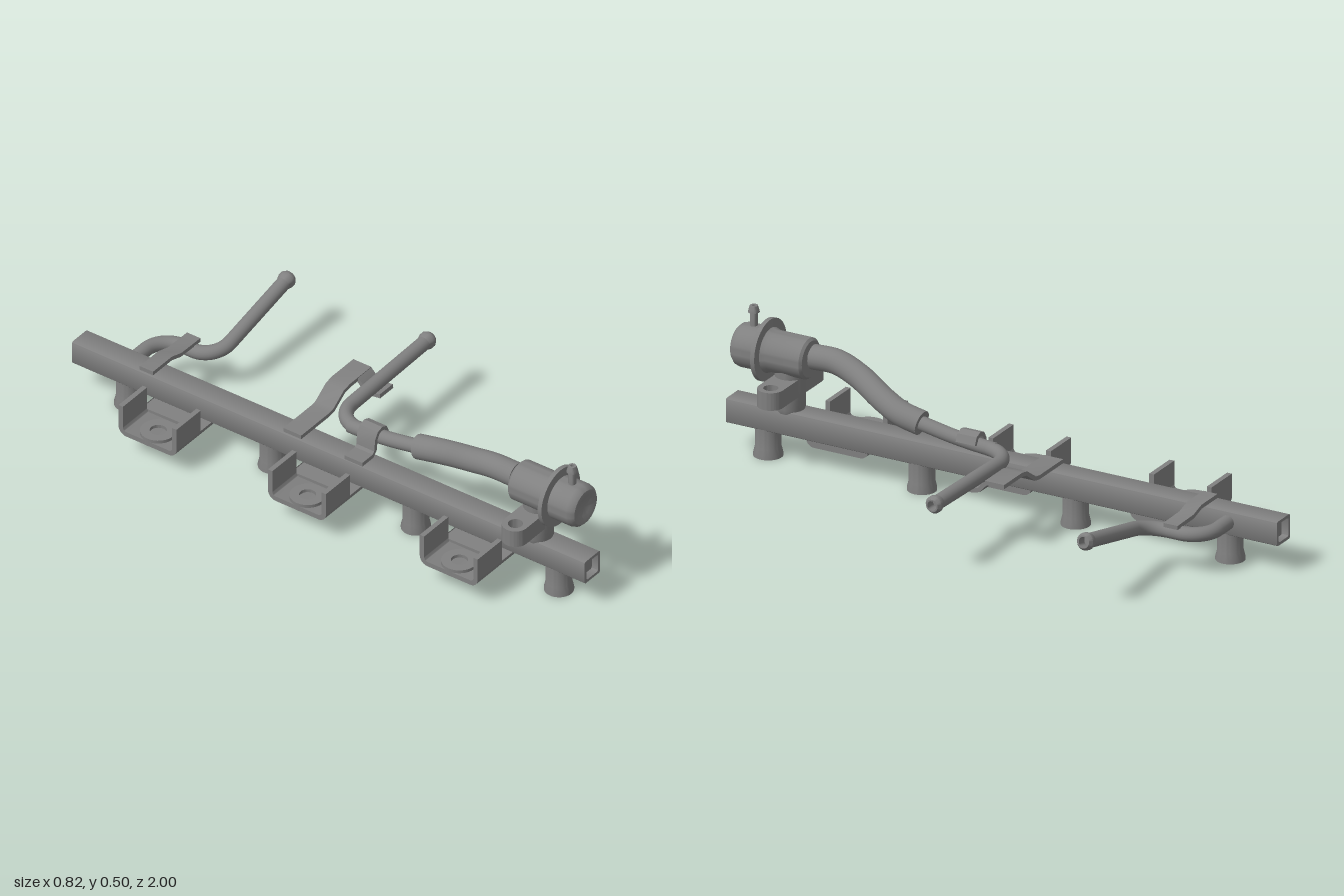
import * as THREE from 'three';
import { toCreasedNormals } from 'three/addons/utils/BufferGeometryUtils.js';

const V2 = (x, y) => new THREE.Vector2(x, y);
const V3 = (p) => new THREE.Vector3(...p);
const RAIL_X = -0.185;

export function createModel() {
  const model = new THREE.Group();
  const grey = new THREE.MeshStandardMaterial({ color: 0x808080, side: THREE.DoubleSide });
  grey.name = 'metalGrey';

  const add = (name, geo, x = 0, y = 0, z = 0, parent = model) => {
    const mesh = new THREE.Mesh(geo, grey);
    mesh.name = name;
    mesh.position.set(x, y, z);
    parent.add(mesh);
    return mesh;
  };
  const lathe = (pts, seg = 40) =>
    toCreasedNormals(new THREE.LatheGeometry(pts.map((p) => V2(...p)), seg), 0.6);
  const extrude = (shape, depth) =>
    toCreasedNormals(new THREE.ExtrudeGeometry(shape, { depth, bevelEnabled: false, curveSegments: 10 }), 0.6);

  const roundRect = (w, h, r, Type = THREE.Shape) => {
    const s = new Type();
    s.absarc(w - r, h - r, r, 0, Math.PI / 2);
    s.absarc(-w + r, h - r, r, Math.PI / 2, Math.PI);
    s.absarc(-w + r, -h + r, r, Math.PI, Math.PI * 1.5);
    s.absarc(w - r, -h + r, r, Math.PI * 1.5, Math.PI * 2);
    s.closePath();
    return s;
  };
  const hole = (x, y, r) => new THREE.Path().absarc(x, y, r, 0, Math.PI * 2, true);

  // Strip of even thickness that follows a bent line
  const strap = (pts, t, depth) => {
    const p = pts.map((q) => V2(...q));
    const side = (k) => p.map((q, i) => {
      const a = p[Math.max(i - 1, 0)], b = p[Math.min(i + 1, p.length - 1)];
      const d = b.clone().sub(a).normalize();
      return V2(q.x - d.y * k, q.y + d.x * k);
    });
    return extrude(new THREE.Shape([...side(-t / 2), ...side(t / 2).reverse()]), depth);
  };

  // Straight runs joined by rounded bends of size r
  const bentPath = (pts, r) => {
    const p = pts.map(V3), path = new THREE.CurvePath();
    let from = p[0];
    for (let i = 1; i < p.length - 1; i++) {
      const a = p[i].clone().add(p[i - 1].clone().sub(p[i]).setLength(r));
      const b = p[i].clone().add(p[i + 1].clone().sub(p[i]).setLength(r));
      const ca = a.clone().lerp(p[i], 0.56), cb = b.clone().lerp(p[i], 0.56);
      path.add(new THREE.LineCurve3(from, a));
      path.add(new THREE.CubicBezierCurve3(a, ca, cb, b));
      from = b;
    }
    path.add(new THREE.LineCurve3(from, p[p.length - 1]));
    return path;
  };
  const pipe = (name, pts, r, bend) => {
    const path = bentPath(pts, bend);
    add(name, new THREE.TubeGeometry(path, 90, r, 20));
    // Swollen open tip
    const tip = add(name + 'Tip', lathe([[0, -0.03], [0.016, -0.03], [0.016, 0.006], [0.021, 0.006],
      [0.029, -0.006], [0.029, -0.018], [r, -0.032]], 24));
    tip.position.copy(path.getPoint(1));
    tip.quaternion.setFromUnitVectors(new THREE.Vector3(0, 1, 0), path.getTangent(1));
  };

  // Square hollow rail with recessed end plugs
  const railShape = roundRect(0.042, 0.042, 0.009);
  railShape.holes.push(roundRect(0.031, 0.032, 0.007, THREE.Path));
  add('rail', extrude(railShape, 2), RAIL_X, 0.138, -1);
  add('railPlug', new THREE.BoxGeometry(0.064, 0.066, 1.95), RAIL_X, 0.138, 0);

  // Flared injector cups
  const cup = lathe([[0, 0.07], [0.034, 0.07], [0.034, 0.025], [0.042, 0], [0.048, 0], [0.048, 0.008],
    [0.042, 0.033], [0.042, 0.1]]);
  for (const z of [0.87, 0.312, -0.246, -0.807]) add('injectorCup', cup, RAIL_X, 0, z);

  // U-shaped mounting brackets, each with a drilled boss
  const wall = 0.017;
  const channel = new THREE.Shape();
  channel.moveTo(-0.113, 0.18);
  channel.lineTo(-0.113, 0.1);
  channel.absarc(-0.083, 0.1, 0.03, Math.PI, Math.PI * 1.5);
  channel.absarc(0.083, 0.1, 0.03, Math.PI * 1.5, Math.PI * 2);
  channel.lineTo(0.113, 0.18);
  channel.lineTo(0.113 - wall, 0.18);
  channel.absarc(0.083, 0.1, 0.03 - wall, 0, -Math.PI / 2, true);
  channel.absarc(-0.083, 0.1, 0.03 - wall, -Math.PI / 2, -Math.PI, true);
  channel.lineTo(-0.113 + wall, 0.18);
  const foot = new THREE.Shape();
  foot.moveTo(-0.113, 0.096);
  foot.absarc(-0.083, 0.1, 0.03, Math.PI, Math.PI * 1.5);
  foot.absarc(0.083, 0.1, 0.03, Math.PI * 1.5, Math.PI * 2);
  foot.lineTo(0.113, 0.096);
  const boss = lathe([[0.027, 0.066], [0.058, 0.066], [0.058, 0.094], [0.027, 0.094], [0.027, 0.066]], 32);
  for (const z of [-0.569, 0.014, 0.606]) {
    const bracket = new THREE.Group();
    bracket.name = 'mountingBracket';
    bracket.position.z = z;
    model.add(bracket);
    add('bracketChannel', extrude(channel, 0.129), -0.412, 0, 0, bracket).rotation.y = Math.PI / 2;
    add('bracketFoot', extrude(foot, 0.123), -0.283, 0, 0, bracket).rotation.y = Math.PI / 2;
    add('bracketBoss', boss, -0.355, 0.004, 0, bracket);
  }

  // Pressure regulator: round body, neck, two-eared flange, nipple
  add('regulatorBody', lathe([[0, 0.714], [0.06, 0.714], [0.068, 0.722], [0.068, 0.845], [0.074, 0.861],
    [0.103, 0.862], [0.103, 0.877], [0.073, 0.878], [0.073, 0.95], [0.069, 0.965], [0.06, 0.974],
    [0.045, 0.974], [0.034, 0.968], [0, 0.968]], 48), RAIL_X, 0.36, 0).rotation.x = Math.PI / 2;
  add('regulatorNeck', lathe([[0, 0.17], [0.044, 0.17], [0.049, 0.185], [0.049, 0.34], [0, 0.34]]), RAIL_X, 0, 0.79);
  const ears = roundRect(0.166, 0.043, 0.0425);
  ears.holes.push(hole(-0.123, 0, 0.024), hole(0.123, 0, 0.024));
  add('regulatorFlange', extrude(ears, 0.06), RAIL_X, 0.29, 0.79).rotation.x = Math.PI / 2;
  add('regulatorNipple', lathe([[0.013, 0.42], [0.013, 0.475], [0.019, 0.478], [0.017, 0.487], [0.013, 0.5],
    [0.006, 0.5], [0.006, 0.48], [0, 0.48]], 24), RAIL_X, 0, 0.922);

  // Rubber hose from the regulator
  const hosePath = new THREE.CatmullRomCurve3([[RAIL_X, 0.37, 0.705], [RAIL_X, 0.37, 0.62], [-0.17, 0.345, 0.53],
    [-0.135, 0.3, 0.42], [-0.12, 0.275, 0.35], [-0.119, 0.258, 0.275]].map(V3));
  add('hose', new THREE.TubeGeometry(hosePath, 50, 0.041, 24));
  for (const u of [0, 1]) {
    const cap = add('hoseEnd', new THREE.CircleGeometry(0.041, 24));
    cap.position.copy(hosePath.getPoint(u));
    cap.lookAt(cap.position.clone().add(hosePath.getTangent(u).multiplyScalar(u ? 1 : -1)));
  }
  add('hoseStub', new THREE.CylinderGeometry(0.025, 0.025, 0.05, 20), RAIL_X, 0.37, 0.71).rotation.x = Math.PI / 2;

  // Return pipe and feed pipe
  pipe('returnPipe', [[-0.119, 0.262, 0.3], [-0.119, 0.226, 0.1], [-0.115, 0.222, -0.058],
    [0.392, 0.236, -0.058]], 0.024, 0.095);
  pipe('feedPipe', [[-0.16, 0.142, -0.82], [0.005, 0.142, -0.82], [0.005, 0.142, -0.612],
    [0.4, 0.232, -0.612]], 0.024, 0.085);

  // Sheet metal straps that hold the pipes
  add('feedPipeStrap', strap([[-0.22, 0.187], [-0.12, 0.187], [-0.07, 0.172], [0.032, 0.17]], 0.014, 0.052), 0, 0, -0.74);
  add('returnPipeClip', strap([[-0.225, 0.187], [-0.168, 0.187], [-0.155, 0.2], [-0.15, 0.24], [-0.138, 0.26],
    [-0.119, 0.265], [-0.1, 0.258], [-0.09, 0.235]], 0.014, 0.07), 0, 0, 0.062);
  add('returnPipeStrap', strap([[-0.22, 0.187], [-0.07, 0.187], [-0.045, 0.192], [0.01, 0.23], [0.04, 0.236],
    [0.153, 0.236]], 0.014, 0.07), 0, 0, -0.18);
  // Cradle dipping under the return pipe
  add('returnPipeCradle', strap([[0.115, 0.236], [0.1, 0.222], [0.088, 0.206], [0.06, 0.2], [0.025, 0.205]],
    0.014, 0.07), 0.083, 0, 0).rotation.y = Math.PI / 2;

  return model;
}
